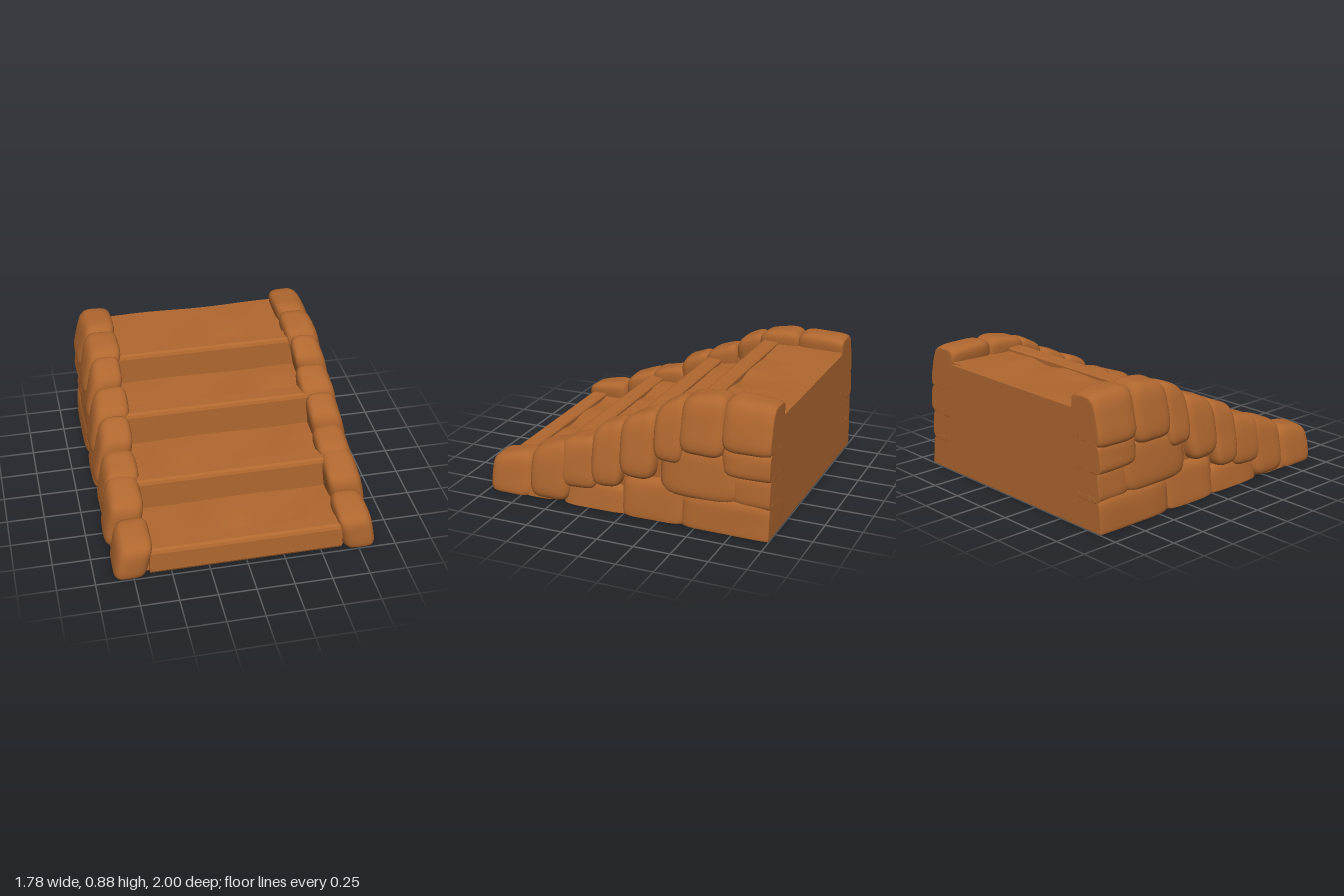
import * as THREE from 'three';
import { mergeVertices } from 'three/addons/utils/BufferGeometryUtils.js';

const clay = new THREE.MeshStandardMaterial({ color: 0xb0672f });
clay.name = 'brown clay';

const BACK = -0.995;
// front z and nose height of every step
const STEPS = [[0.97, 0.19], [0.5, 0.385], [0.03, 0.6], [-0.4, 0.795]];

// Stones of one side: z0, z1, y0, y1, x inner, x outer, slope of the top, inward lean
const CAPS = [
  [0.68, 1.0, -0.04, 0.27, 0.63, 0.86, 0.03, 0.03],
  [0.39, 0.69, 0.0, 0.39, 0.635, 0.875, 0.05, 0.03],
  [0.19, 0.48, 0.12, 0.46, 0.63, 0.86, 0.03, 0.03],
  [0.01, 0.24, 0.17, 0.59, 0.635, 0.865, 0.05, 0.04],
  [-0.22, 0.04, 0.27, 0.685, 0.62, 0.865, 0.05, 0.04],
  [-0.41, -0.2, 0.41, 0.8, 0.63, 0.85, 0.05, 0.04],
  [-0.69, -0.37, 0.49, 0.87, 0.61, 0.85, 0.02, 0.04],
  [-1.04, -0.65, 0.54, 0.875, 0.61, 0.845, -0.01, 0.04],
];
const WALL = [
  [-1.08, -0.66, 0.38, 0.58, 0.6, 0.86, 0, 0.01],
  [-0.8, -0.24, 0.19, 0.54, 0.6, 0.855, 0, 0.02],
  [-1.08, -0.72, 0.19, 0.42, 0.6, 0.85, 0, 0.01],
  [-1.08, -0.38, -0.06, 0.24, 0.6, 0.87, 0, 0.01],
  [-0.43, 0.03, -0.06, 0.28, 0.6, 0.86, 0.02, 0.02],
  [-0.04, 0.46, -0.06, 0.2, 0.6, 0.855, -0.02, 0.02],
  [0.5, 0.8, -0.06, 0.13, 0.62, 0.85, 0, 0.01],
];

// Rounded, slightly lumpy block made by pushing a box towards a superellipsoid
function stone([z0, z1, y0, y1, x0, x1, slope, lean], side, seed, power) {
  let g = new THREE.BoxGeometry(2, 2, 2, 12, 12, 12);
  g.deleteAttribute('uv');
  g.deleteAttribute('normal');
  g = mergeVertices(g);
  const p = g.attributes.position;
  const v = new THREE.Vector3();
  for (let i = 0; i < p.count; i++) {
    v.fromBufferAttribute(p, i);
    const norm = Math.pow(
      Math.abs(v.x) ** power + Math.abs(v.y) ** power + Math.abs(v.z) ** power, 1 / power);
    v.divideScalar(norm);
    const lump = 1 + 0.025 * Math.sin(2.3 * v.y + 1.7 * v.z + seed * 2.1)
      * Math.cos(2.1 * v.x - 1.5 * v.z + seed);
    const x = side * (x0 + x1) / 2 + v.x * lump * (x1 - x0) / 2 - side * lean * v.y;
    const z = (z0 + z1) / 2 + v.z * lump * (z1 - z0) / 2;
    const y = (y0 + y1) / 2 + v.y * lump * (y1 - y0) / 2 - slope * v.z * Math.max(v.y, 0);
    p.setXYZ(i, x, Math.max(y, 0), Math.max(z, BACK));
  }
  g.computeVertexNormals();
  return g;
}

// Extrudes a [z, y] outline along x
function extrudeX(points, x0, x1) {
  const shape = new THREE.Shape(points.map(([z, y]) => new THREE.Vector2(-z, y)));
  const g = new THREE.ExtrudeGeometry(shape, { depth: x1 - x0, bevelEnabled: false });
  g.rotateY(Math.PI / 2);
  g.translate(x0, 0, 0);
  return g;
}

// Worn tread: a grid with soft dents just behind the nose
function tread(z0, z1, y, seed) {
  const g = new THREE.PlaneGeometry(1.28, z0 - z1, 48, 12);
  g.rotateX(-Math.PI / 2);
  g.translate(0, y, (z0 + z1) / 2);
  const p = g.attributes.position;
  for (let i = 0; i < p.count; i++) {
    const x = p.getX(i);
    const t = (p.getZ(i) - z1) / (z0 - z1);
    const dent = Math.max(0, Math.sin(x * 9 + seed * 2.4) * Math.sin(x * 4 + seed));
    p.setY(i, y - 0.025 * dent * t * t + 0.005 * Math.sin(x * 7 + t * 3 + seed));
  }
  g.computeVertexNormals();
  return g;
}

export function createModel() {
  const model = new THREE.Group();
  const add = (parent, name, geometry) => {
    const m = new THREE.Mesh(geometry, clay);
    m.name = name;
    parent.add(m);
  };

  // Solid core under the treads
  const outline = [[0.93, 0]];
  STEPS.forEach(([z, h]) => outline.push([z - 0.04, outline[outline.length - 1][1]], [z - 0.04, h - 0.055]));
  outline.push([BACK, 0.74], [BACK, 0]);
  add(model, 'stairCore', extrudeX(outline, -0.66, 0.66));

  // Riser boards with a rounded nose, and the worn treads behind them
  STEPS.forEach(([z, h], i) => {
    const base = i ? STEPS[i - 1][1] - 0.06 : 0;
    add(model, 'riser', extrudeX([
      [z - 0.012, base], [z, base + 0.02], [z, h - 0.03], [z - 0.008, h - 0.01],
      [z - 0.025, h], [z - 0.115, h], [z - 0.125, h - 0.01], [z - 0.125, base],
    ], -0.64, 0.64));
    const end = i < 3 ? STEPS[i + 1][0] - 0.02 : BACK;
    add(model, 'tread', tread(z - 0.12, end, h - 0.02, i + 1));
  });

  // Back panel
  const back = new THREE.BoxGeometry(1.6, 0.76, 0.03);
  back.translate(0, 0.38, BACK + 0.015);
  add(model, 'backPanel', back);

  // Stone side walls
  for (const side of [1, -1]) {
    const wall = new THREE.Group();
    wall.name = side > 0 ? 'leftWall' : 'rightWall';
    const core = [[0.85, 0], [0.75, 0.12], [0.3, 0.33], [-0.1, 0.55], [-0.45, 0.75], [BACK, 0.77], [BACK, 0]];
    add(wall, 'wallCore', side > 0 ? extrudeX(core, 0.64, 0.8) : extrudeX(core, -0.8, -0.64));
    CAPS.forEach((s, i) => add(wall, 'capStone', stone(s, side, i + side, 4.2)));
    WALL.forEach((s, i) => add(wall, 'wallStone', stone(s, side, i + 9 + side, 5)));
    model.add(wall);
  }
  return model;
}
